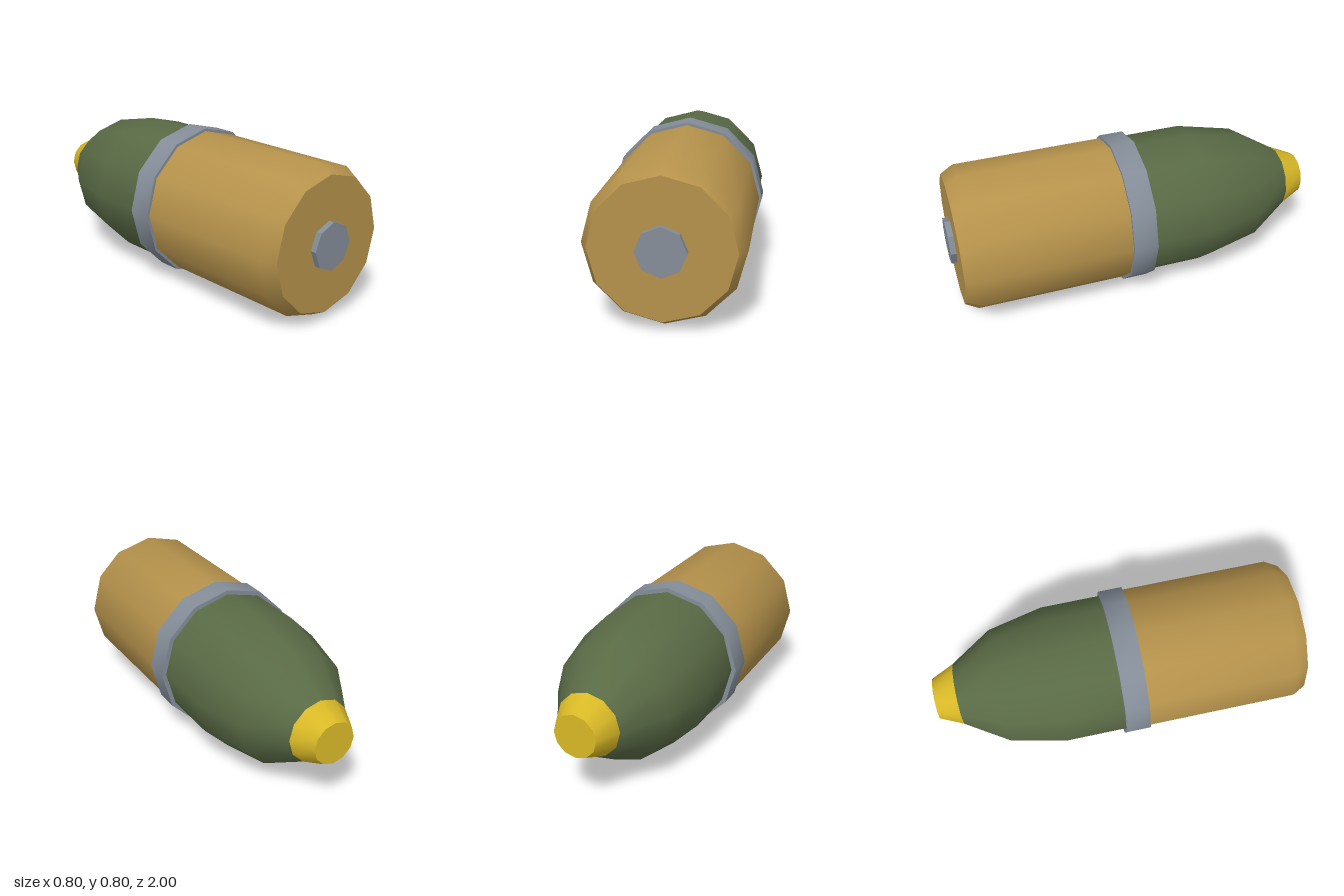
import * as THREE from 'three';
import { toCreasedNormals } from 'three/addons/utils/BufferGeometryUtils.js';

const AXIS_HEIGHT = 0.402;

function paint(name, color) {
  const m = new THREE.MeshStandardMaterial({ color });
  m.name = name;
  return m;
}

// Revolves [z, radius] stations (back to front) around the long axis, capped at both ends.
function turned(name, material, sides, stations) {
  const first = stations[0], last = stations[stations.length - 1];
  const profile = [[first[0], 0], ...stations, [last[0], 0]]
    .map(([z, r]) => new THREE.Vector2(r, z));
  const lathe = new THREE.LatheGeometry(profile, sides);
  lathe.rotateX(Math.PI / 2);
  const mesh = new THREE.Mesh(toCreasedNormals(lathe, 0.72), material);
  mesh.name = name;
  mesh.position.y = AXIS_HEIGHT;
  return mesh;
}

export function createModel() {
  const brass = paint('brass', 0xb5924b);
  const steel = paint('steel grey', 0x848d98);
  const olive = paint('olive green', 0x596a45);
  const yellow = paint('yellow', 0xd8b826);

  const group = new THREE.Group();
  group.name = 'shell';
  group.add(
    // Cartridge case with a chamfered base
    turned('case', brass, 12, [[0.05, 0.387], [0.9, 0.387], [0.97, 0.349]]),
    // Primer in the base
    turned('primer', steel, 8, [[0.95, 0.122], [1, 0.122]]),
    // Raised band where case and projectile meet
    turned('band', steel, 12, [[-0.03, 0.402], [0.1, 0.402]]),
    // Tapering projectile
    turned('projectile', olive, 12, [[-0.877, 0.17], [-0.65, 0.313], [-0.35, 0.378], [0, 0.378]]),
    // Fuse tip
    turned('tip', yellow, 12, [[-1, 0.113], [-0.877, 0.17]]),
  );
  return group;
}
